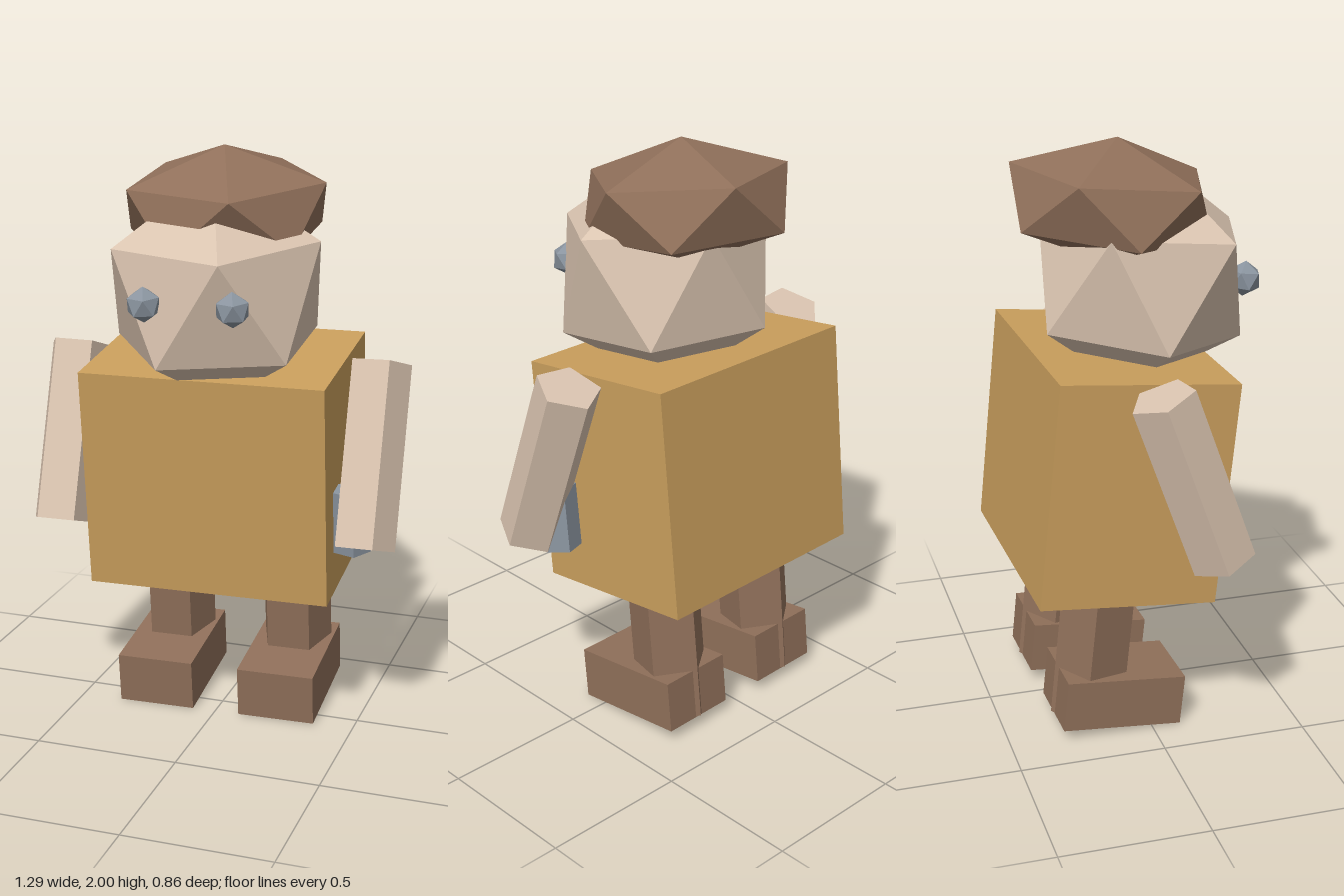
import * as THREE from 'three';

function flat(name, color) {
  const m = new THREE.MeshStandardMaterial({ color });
  m.name = name;
  m.flatShading = true;
  return m;
}

export function createModel() {
  const skin = flat('skin', 0xdac4b0);
  const brown = flat('brown', 0x90705a);
  const tan = flat('tan', 0xca9f5d);
  const grey = flat('grey', 0x8a949f);

  const model = new THREE.Group();
  model.name = 'figure';
  // the whole figure leans forward and turns very slightly
  model.rotation.set(0.1, 0.03, 0);

  function add(name, geometry, material, x, y, z) {
    const mesh = new THREE.Mesh(geometry, material);
    mesh.name = name;
    mesh.position.set(x, y, z);
    model.add(mesh);
    return mesh;
  }

  // five-sided prism
  const prism = (r, h, start) => new THREE.CylinderGeometry(r, r, h, 5, 1, false, start);

  // icosahedron standing on a corner
  const gem = (r, squash = 1) =>
    new THREE.IcosahedronGeometry(r, 0).rotateZ(-Math.atan(2 / (1 + Math.sqrt(5)))).scale(1, squash, 1);

  add('torso', new THREE.BoxGeometry(0.845, 0.775, 0.61), tan, 0, 0.893, -0.17);
  add('head', gem(0.4), skin, 0.002, 1.528, -0.097);
  add('hair', gem(0.385, 0.54), brown, 0.005, 1.777, -0.223);

  // paired parts
  for (const [side, s] of [['left', 1], ['right', -1]]) {
    add(side + 'Eye', gem(0.06), grey, s * 0.148, 1.559, 0.215);

    const arm = add(side + 'Arm', prism(0.11, 0.625, Math.PI - s * 0.12), skin, s * 0.535, 0.996, -0.04);
    arm.rotation.x = -0.45;

    add(side + 'Leg', prism(0.13, 0.54, Math.PI), brown, s * 0.221, 0.286, -0.212);
    add(side + 'Foot', new THREE.BoxGeometry(0.273, 0.18, 0.42), brown, s * 0.221, 0.102, -0.122);
  }

  // small peg held inside the left hand
  add('handPeg', prism(0.067, 0.22, Math.PI / 2), grey, 0.48, 0.774, 0.003);

  const root = new THREE.Group();
  root.name = 'model';
  root.add(model);
  return root;
}
